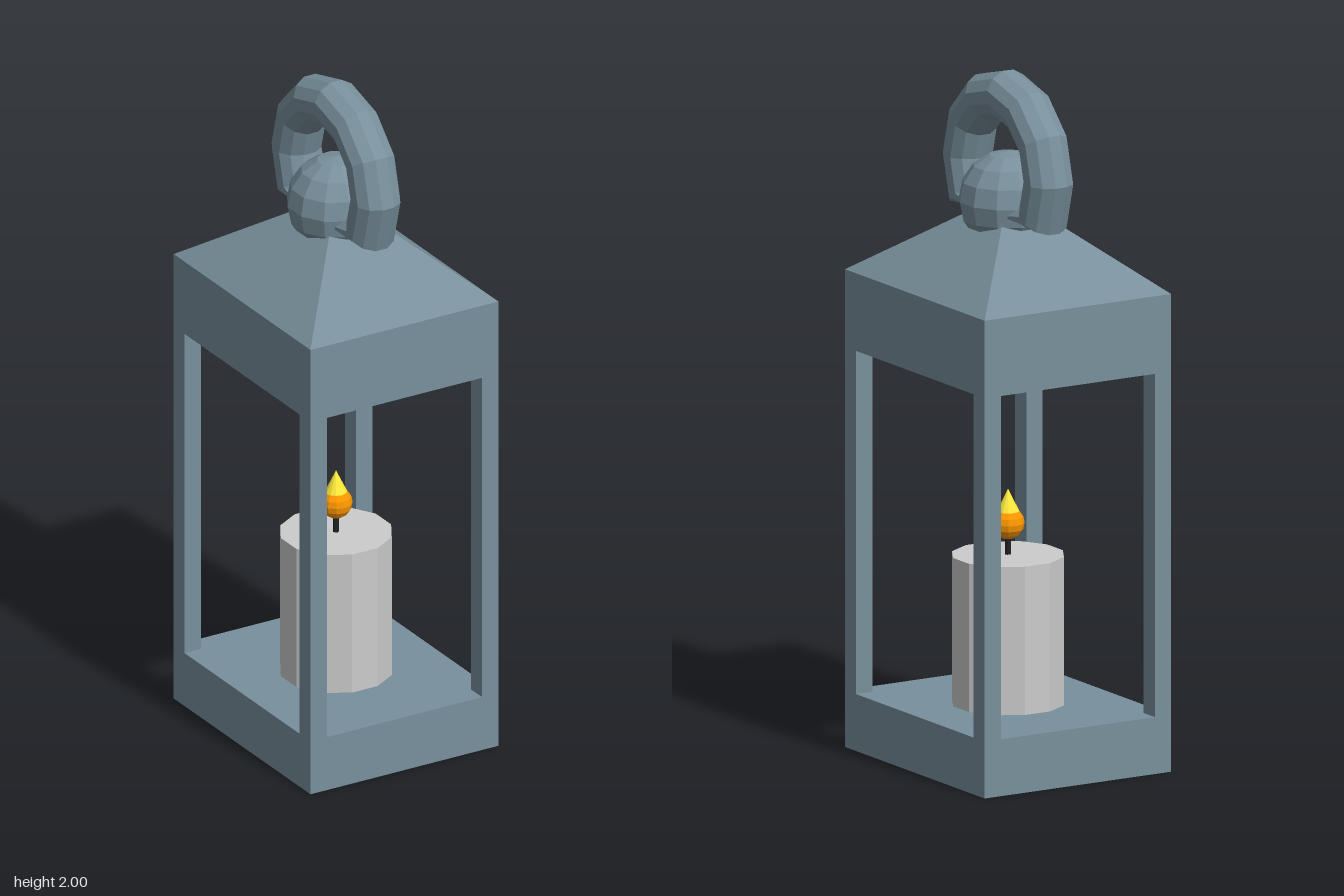
import * as THREE from 'three';

const mat = (color, extra = {}) => new THREE.MeshStandardMaterial({ color, flatShading: true, ...extra });

export function createModel() {
  const model = new THREE.Group();
  const metal = mat(0x78909c);
  const wax = mat(0xcccccc);
  const add = (name, geo, material, x = 0, y = 0, z = 0) => {
    const mesh = new THREE.Mesh(geo, material);
    mesh.name = name;
    mesh.position.set(x, y, z);
    model.add(mesh);
    return mesh;
  };

  // Housing: base slab, upper slab and four corner posts
  const W = 0.62, D = 0.744, postW = 0.054, postD = 0.06;
  const baseTop = 0.165, headBottom = 1.16, headTop = 1.385;
  add('base', new THREE.BoxGeometry(W, baseTop, D), metal, 0, baseTop / 2, 0);
  add('head', new THREE.BoxGeometry(W, headTop - headBottom, D), metal, 0, (headTop + headBottom) / 2, 0);
  const postH = headBottom - baseTop;
  for (const sx of [-1, 1]) for (const sz of [-1, 1]) {
    add('cornerPost', new THREE.BoxGeometry(postW, postH, postD), metal,
      sx * (W - postW) / 2, baseTop + postH / 2, sz * (D - postD) / 2);
  }

  // Pyramid roof
  const roofH = 0.258;
  const roof = new THREE.ConeGeometry(Math.SQRT1_2, roofH, 4, 1, true);
  roof.rotateY(Math.PI / 4).scale(W, 1, D);
  add('roof', roof, metal, 0, headTop + roofH / 2, 0);

  // Ball on the roof
  const ball = new THREE.SphereGeometry(0.142, 12, 8).rotateY(Math.PI / 12);
  add('finialBall', ball, metal, 0, 1.624, 0);

  // Carrying ring: an open arc whose ends flatten into the ball
  add('carryingRing', ringGeometry(), mat(0x78909c, { side: THREE.DoubleSide }), 0, 1.713, 0);

  // Candle
  const candleTop = 0.595;
  add('candle', new THREE.CylinderGeometry(0.162, 0.162, candleTop - baseTop, 12).rotateY(Math.PI / 12),
    wax, 0, (candleTop + baseTop) / 2, 0);
  add('wick', new THREE.CylinderGeometry(0.009, 0.009, 0.07, 8), mat(0x212121), 0, candleTop + 0.035, 0);
  add('flameBody', new THREE.SphereGeometry(0.047, 12, 8), mat(0xff9800), 0, 0.686, 0);
  add('flameTip', new THREE.ConeGeometry(0.037, 0.075, 12, 1, true), mat(0xffeb3b), 0, 0.7475, 0);

  return model;
}

// Lofts cross-sections along the arc, in the yz plane
function ringGeometry() {
  const R = 0.215, r = 0.072, sides = 12, steps = 8;
  const sections = [];
  const tongue = (s) => ({ z: s * 0.1, y: -0.112, out: [0, -1], w: 0.075, h: 0.012 });
  sections.push(tongue(1));
  for (let i = 0; i <= steps; i++) {
    const a = THREE.MathUtils.degToRad(-30 + i * 30);
    const out = [Math.cos(a), Math.sin(a)];
    sections.push({ z: out[0] * R, y: out[1] * R, out, w: r, h: r });
  }
  sections.push(tongue(-1));

  const pos = [], index = [];
  for (const s of sections) {
    for (let j = 0; j < sides; j++) {
      const t = (j + 0.5) / sides * Math.PI * 2;
      const h = Math.cos(t) * s.h;
      pos.push(Math.sin(t) * s.w, s.y + s.out[1] * h, s.z + s.out[0] * h);
    }
  }
  for (let i = 0; i < sections.length - 1; i++) {
    for (let j = 0; j < sides; j++) {
      const k = (j + 1) % sides;
      const a = i * sides + j, b = i * sides + k, c = a + sides, d = b + sides;
      index.push(a, b, c, b, d, c);
    }
  }
  const geo = new THREE.BufferGeometry();
  geo.setAttribute('position', new THREE.Float32BufferAttribute(pos, 3));
  geo.setIndex(index);
  geo.computeVertexNormals();
  return geo;
}
